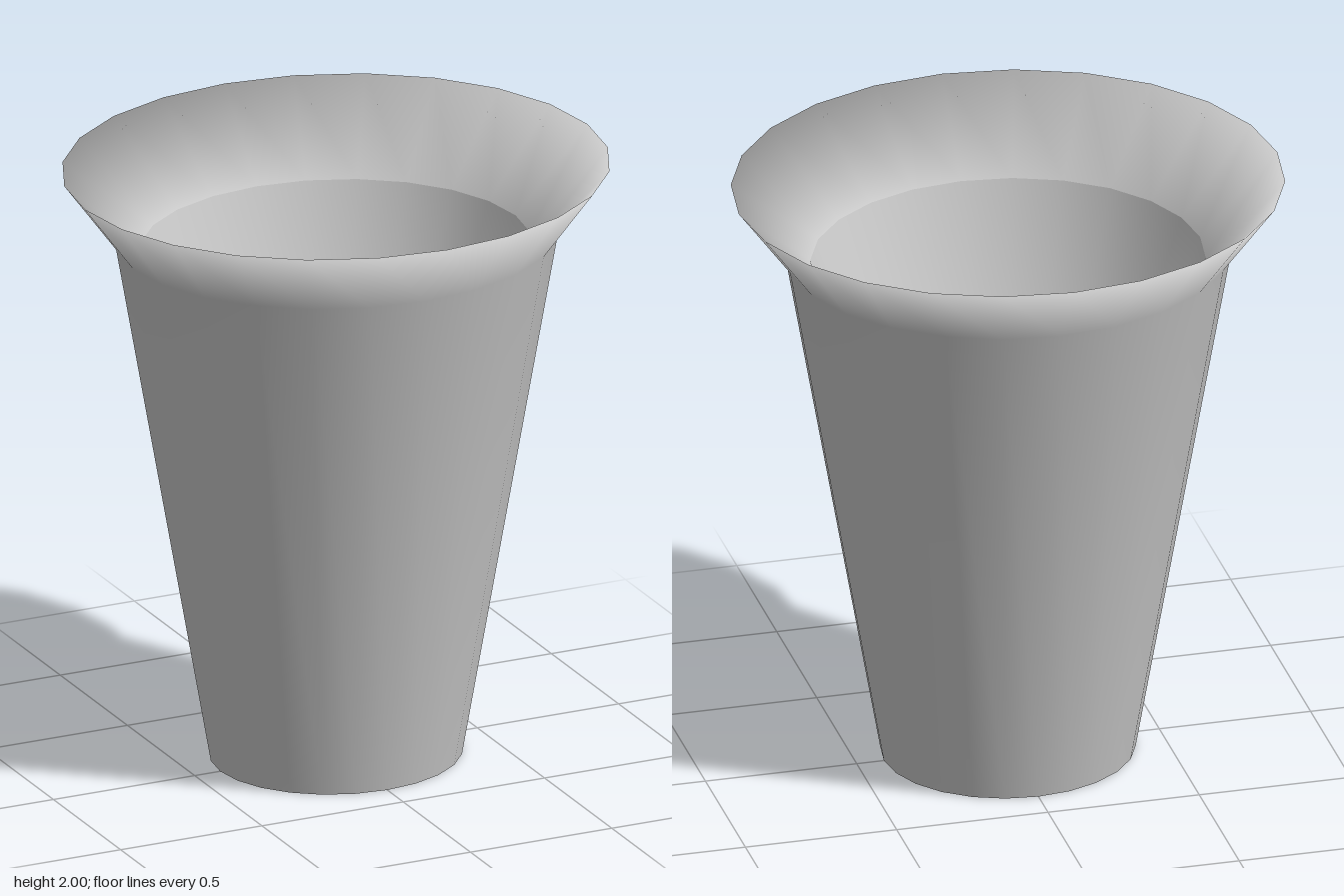
import * as THREE from 'three';

const SIDES = 24;
const DEPTH = 0.93; // the pot is slightly oval

export function createModel() {
  const group = new THREE.Group();
  group.name = 'flaredPot';
  const grey = new THREE.MeshStandardMaterial({ color: 0xc8c8c8 });
  grey.name = 'plain grey';

  // Turns a profile; softRing bends the normals of one profile point (outward, up)
  function turned(name, profile, softRing) {
    const points = profile.map(([r, y]) => new THREE.Vector2(r, y));
    const geometry = new THREE.LatheGeometry(points, SIDES);
    if (softRing) {
      const normal = geometry.attributes.normal;
      for (let i = 0; i <= SIDES; i++) {
        const a = (i / SIDES) * Math.PI * 2;
        const { index, out, up } = softRing;
        normal.setXYZ(i * points.length + index, out * Math.sin(a), up, out * Math.cos(a));
      }
    }
    geometry.scale(1, 1, DEPTH);
    const mesh = new THREE.Mesh(geometry, grey);
    mesh.name = name;
    group.add(mesh);
  }

  // Flat underside
  turned('base', [[0, 0], [0.41, 0]]);

  // Tapered wall, flared lip and the sloping inside of the lip
  turned('wallAndLip', [[0.41, 0], [0.72, 1.77], [0.89, 2], [0.635, 1.73]],
    { index: 2, out: 0.65, up: 0.76 });

  // Deep hollow, narrowing to the middle of the floor
  turned('hollow', [[0.635, 1.73], [0, 0.1]], { index: 1, out: 0, up: 1 });

  return group;
}
